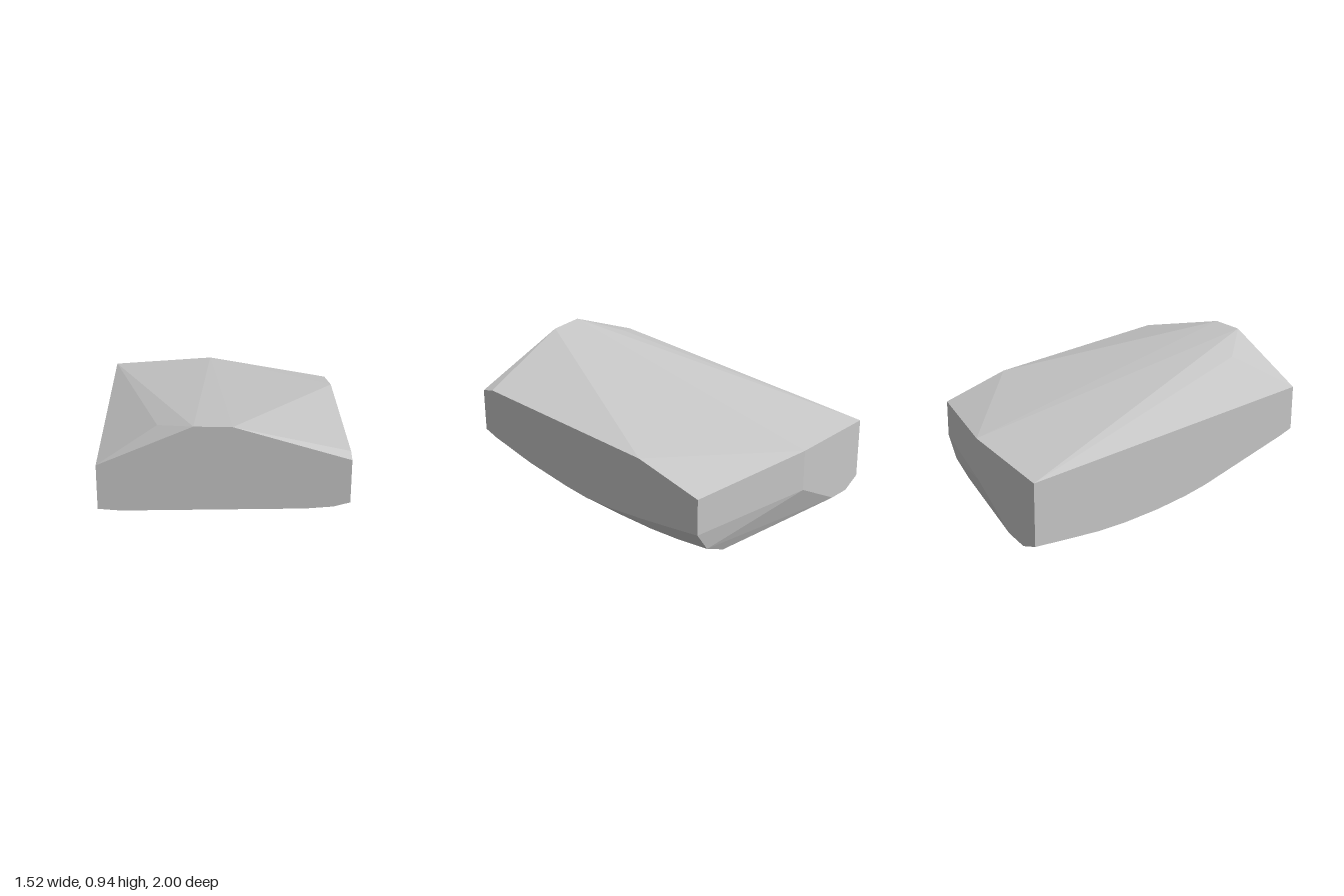
import * as THREE from 'three';
import { ConvexGeometry } from 'three/addons/geometries/ConvexGeometry.js';

export function createModel() {
  const group = new THREE.Group();
  const stone = new THREE.MeshStandardMaterial({ color: 0xc7c7c7, flatShading: true });
  stone.name = 'light stone grey';

  const points = [];
  const add = (x, y, z) => points.push(new THREE.Vector3(x, y, z));

  // Upper corners: sloping ridge with uneven shoulders
  add(-0.76, 0.69, 1);
  add(-0.18, 0.94, 1);
  add(0.05, 0.935, 1);
  add(0.76, 0.713, 1);
  add(0.76, 0.733, 0.92);
  add(0.76, 0.62, -0.33);
  add(0.76, 0.485, -0.78);
  add(-0.07, 0.55, -1);
  add(-0.76, 0.505, -1);
  add(-0.4, 0.842, 0.77);

  // Curved underside sections: z, keel height, right side height, left side height
  const sections = [
    [1, 0.383, 0.428, 0.396],
    [0.91, 0.345, 0.39, 0.362],
    [0.6, 0.236, 0.296, 0.265],
    [0.28, 0.124, 0.226, 0.165],
    [0.12, 0.082, 0.2, 0.128],
    [-0.1, 0.039, 0.193, 0.093],
    [-0.34, 0.009, 0.204, 0.071],
    [-0.55, 0, 0.22, 0.066],
    [-0.78, 0.01, 0.24, 0.077],
  ];
  for (const [z, keel, right, left] of sections) {
    add(-0.76, left, z);
    add(-0.62, keel, z);
    add(0.49, keel + 0.005, z);
    add(0.66, keel + (right - keel) * 0.39, z);
    add(0.76, right, z);
  }

  // Lower corners of the bevelled back
  add(-0.76, 0.09, -1);
  add(-0.62, 0.035, -1);
  add(-0.45, 0.05, -1);
  add(-0.07, 0.27, -1);

  const block = new THREE.Mesh(new ConvexGeometry(points), stone);
  block.name = 'stoneBlock';
  group.add(block);
  return group;
}
